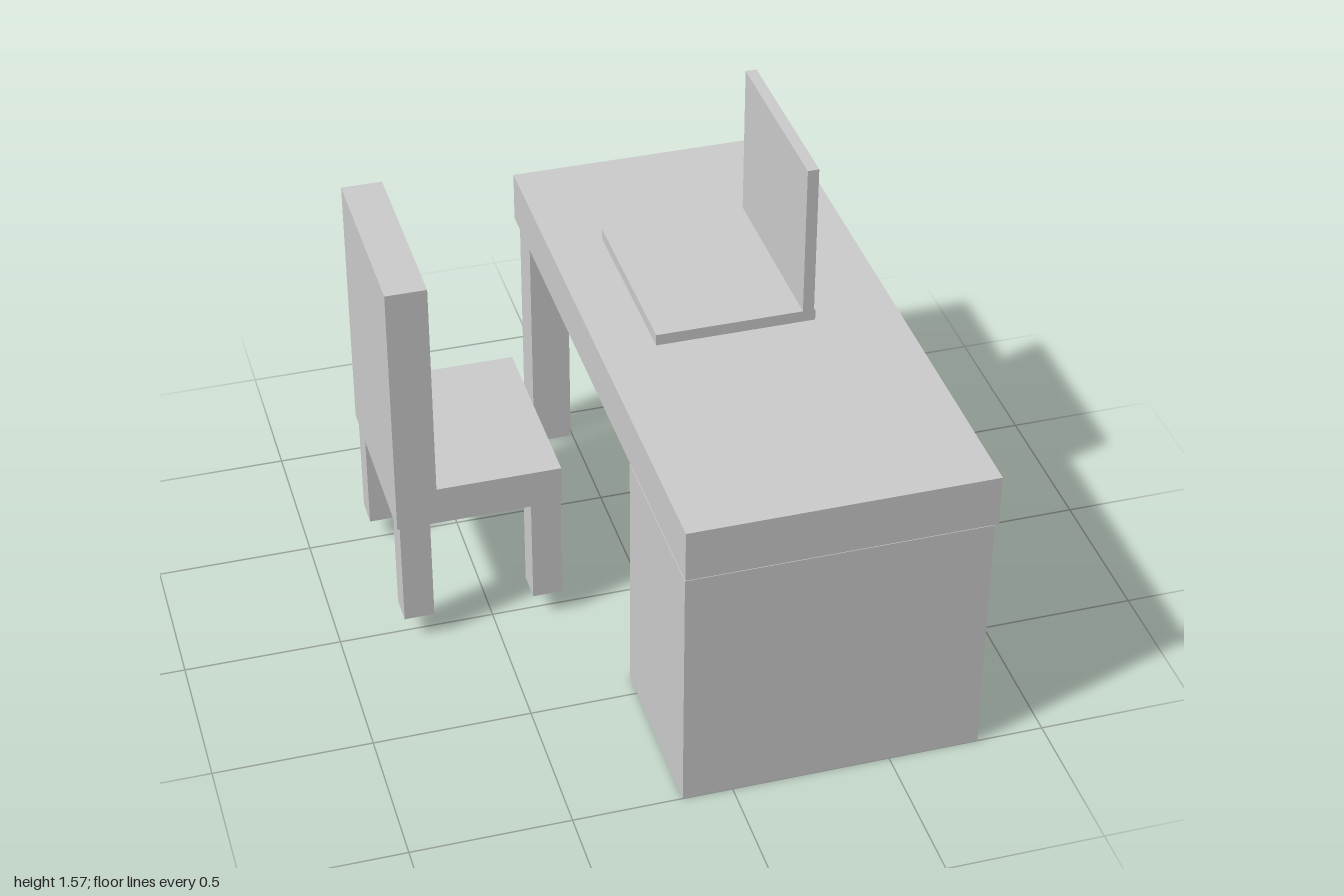
import * as THREE from 'three';

const material = new THREE.MeshStandardMaterial({ color: 0xcccccc, flatShading: true });

// Adds a box spanning [min, max] on each axis
function addBox(parent, name, [x0, x1], [y0, y1], [z0, z1]) {
  const mesh = new THREE.Mesh(new THREE.BoxGeometry(x1 - x0, y1 - y0, z1 - z0), material);
  mesh.position.set((x0 + x1) / 2, (y0 + y1) / 2, (z0 + z1) / 2);
  mesh.name = name;
  parent.add(mesh);
}

function addGroup(parent, name) {
  const group = new THREE.Group();
  group.name = name;
  parent.add(group);
  return group;
}

export function createModel() {
  const model = new THREE.Group();
  model.name = 'deskWithChair';

  // Desk: slab top, solid cabinet at one end, two legs at the other
  const desk = addGroup(model, 'desk');
  addBox(desk, 'deskTop', [-0.155, 0.802], [0.84, 1.01], [-1, 0.998]);
  addBox(desk, 'deskCabinet', [-0.157, 0.788], [0, 0.84], [0.42, 1]);
  for (const x of [-0.142, 0.652]) {
    addBox(desk, 'deskLeg', [x, x + 0.13], [0.015, 0.84], [-0.98, -0.85]);
  }

  // Chair facing the desk
  const chair = addGroup(model, 'chair');
  addBox(chair, 'chairSeat', [-0.805, -0.275], [0.45, 0.58], [-0.58, 0.05]);
  addBox(chair, 'chairBack', [-0.805, -0.675], [0.58, 1.325], [-0.58, 0.05]);
  for (const x of [-0.797, -0.375]) {
    for (const z of [-0.575, -0.05]) {
      addBox(chair, 'chairLeg', [x, x + 0.097], [0.085, 0.45], [z, z + 0.098]);
    }
  }

  // Open laptop on the desk
  const laptop = addGroup(model, 'laptop');
  addBox(laptop, 'laptopBase', [0.02, 0.532], [1.02, 1.058], [-0.527, 0.093]);
  addBox(laptop, 'laptopScreen', [0.491, 0.527], [1.058, 1.565], [-0.527, 0.093]);

  return model;
}
